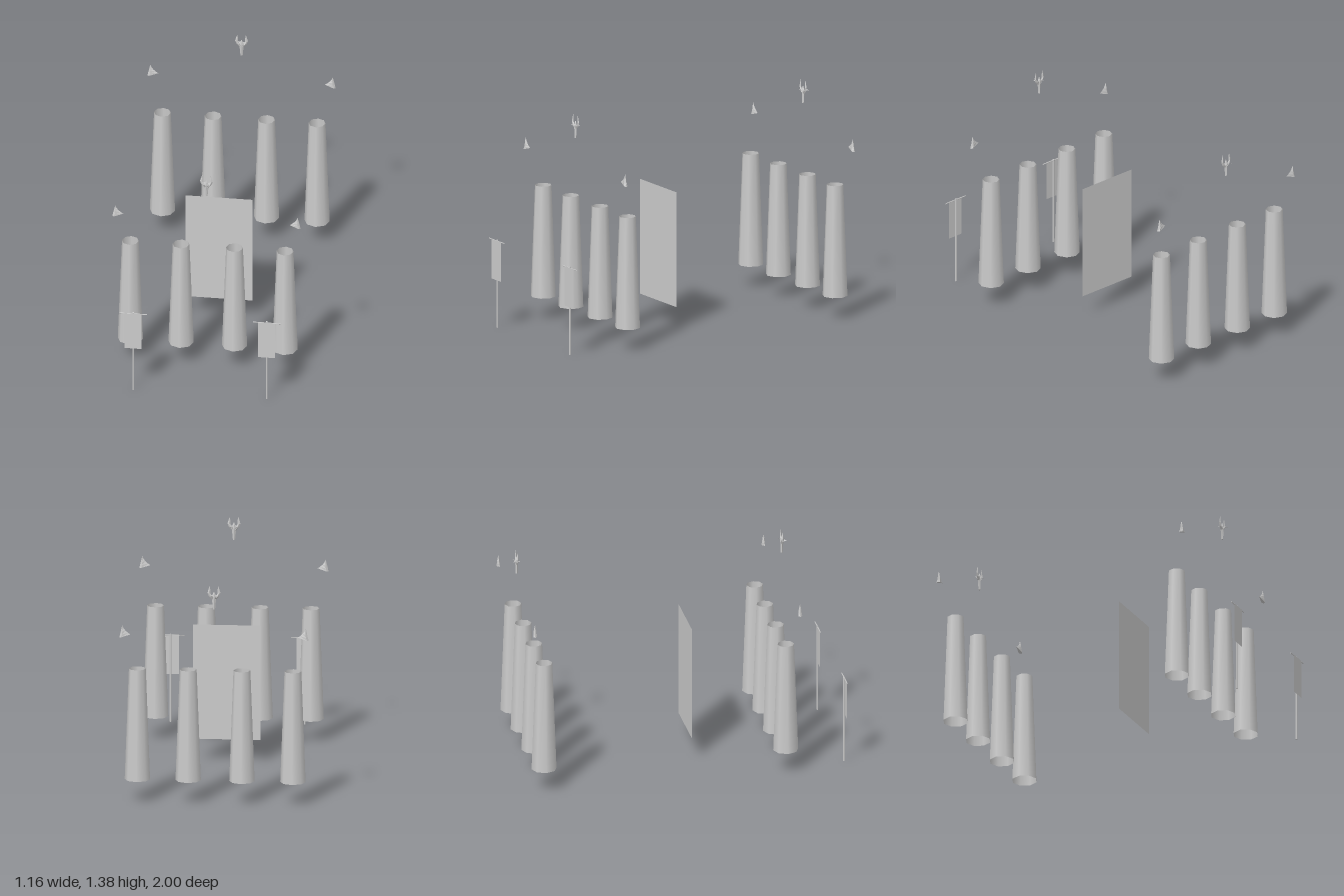
import * as THREE from 'three';

const smooth = new THREE.MeshStandardMaterial({ color: 0xcccccc, side: THREE.DoubleSide });
const faceted = new THREE.MeshStandardMaterial({ color: 0xcccccc, side: THREE.DoubleSide, flatShading: true });

function add(parent, name, geometry, material, x = 0, y = 0, z = 0) {
  const mesh = new THREE.Mesh(geometry, material);
  mesh.name = name;
  mesh.position.set(x, y, z);
  parent.add(mesh);
  return mesh;
}

// Skin a list of four-cornered rings: [left, front, right, back], capped at both ends.
function loft(rings) {
  const index = [];
  const n = rings.length;
  for (let i = 0; i < n - 1; i++) {
    for (let j = 0; j < 4; j++) {
      const a = i * 4 + j, b = i * 4 + (j + 1) % 4;
      index.push(a, b, b + 4, a, b + 4, a + 4);
    }
  }
  const t = (n - 1) * 4;
  index.push(0, 2, 1, 0, 3, 2, t, t + 1, t + 2, t, t + 2, t + 3);
  const g = new THREE.BufferGeometry();
  g.setAttribute('position', new THREE.Float32BufferAttribute(rings.flat(2), 3));
  g.setIndex(index);
  g.computeVertexNormals();
  return g;
}

// Diamond ring between two edge points, thickest at fraction f along it.
function ring(x0, y0, x1, y1, hz, f = 0.5, z = 0) {
  const x = x0 + (x1 - x0) * f, y = y0 + (y1 - y0) * f;
  return [[x0, y0, z], [x, y, z + hz], [x1, y1, z], [x, y, z - hz]];
}

// Forked ornament for the ridge: stem, two upswept horns and small leaves.
function ridgeFinial() {
  const group = new THREE.Group();
  group.name = 'ridgeFinial';
  add(group, 'stem', loft([
    ring(-0.007, 0, 0.007, 0, 0.007),
    ring(-0.012, 0.055, 0.012, 0.055, 0.009),
    ring(-0.015, 0.075, 0.015, 0.075, 0.01),
    ring(-0.008, 0.095, 0.008, 0.095, 0.007),
    ring(-0.001, 0.11, 0.001, 0.11, 0.001),
  ]), faceted);
  const horn = loft([
    ring(0.003, 0.068, 0.013, 0.06, 0.006),
    ring(0.012, 0.082, 0.031, 0.08, 0.007),
    ring(0.021, 0.098, 0.04, 0.103, 0.006),
    ring(0.022, 0.12, 0.034, 0.124, 0.004),
    ring(0.025, 0.145, 0.027, 0.145, 0.001),
  ]);
  const leaf = loft([
    ring(0.001, 0.07, 0.01, 0.066, 0.003, 0.5, 0.004),
    ring(0.01, 0.088, 0.017, 0.082, 0.003, 0.5, 0.014),
    ring(0.023, 0.084, 0.024, 0.082, 0.001, 0.5, 0.026),
  ]);
  for (const s of [1, -1]) {
    add(group, 'horn', horn, faceted).scale.x = s;
    add(group, 'leaf', leaf, faceted).scale.x = s;
    add(group, 'rearLeaf', leaf, faceted).scale.set(s, 1, -0.6);
  }
  return group;
}

// Winged ornament for the eaves: thick outer foot sweeping to a tip and a spur.
function cornerFinial() {
  return loft([
    ring(-0.034, 0.02, 0.034, 0, 0.012, 0.85),
    ring(-0.02, 0.029, 0.03, 0.02, 0.01, 0.75),
    ring(-0.003, 0.044, 0.025, 0.04, 0.008, 0.65),
    ring(0.009, 0.06, 0.021, 0.058, 0.005, 0.6),
    ring(0.0155, 0.076, 0.0165, 0.076, 0.001),
  ]);
}

export function createModel() {
  const model = new THREE.Group();
  model.name = 'templeParts';

  // Two rows of tapered, open, eight-sided columns
  const column = new THREE.CylinderGeometry(0.052, 0.078, 0.7, 8, 1, true);
  for (const z of [0.615, -0.895]) {
    for (const x of [-0.479, -0.166, 0.164, 0.476]) add(model, 'column', column, smooth, x, 0.486, z);
  }

  // Inner wall panel
  add(model, 'wallPanel', new THREE.PlaneGeometry(0.414, 0.724), smooth, 0, 0.498, 0.086);

  // Roof ornaments on the front and back gables
  const corner = cornerFinial();
  for (const [z, s] of [[0.688, 1], [-0.968, -1]]) {
    const finial = ridgeFinial();
    finial.position.set(0, 1.24, z);
    finial.scale.z = s;
    model.add(finial);
    for (const side of [1, -1]) {
      add(model, 'cornerFinial', corner, faceted, side * 0.547, 1.05, z).scale.x = side;
    }
  }

  // Hanging banners on poles
  for (const side of [1, -1]) {
    const banner = new THREE.Group();
    banner.name = 'banner';
    banner.position.set(side * 0.412, 0, 0.993);
    add(banner, 'pole', new THREE.CylinderGeometry(0.006, 0.006, 0.555, 6), smooth, 0, 0.2775, 0);
    const bar = add(banner, 'crossbar', new THREE.CylinderGeometry(0.003, 0.003, 0.17, 6), smooth, 0, 0.547, 0.003);
    bar.rotation.z = Math.PI / 2;
    add(banner, 'cloth', new THREE.PlaneGeometry(0.104, 0.25), smooth, 0, 0.425, 0.007);
    model.add(banner);
  }
  return model;
}
